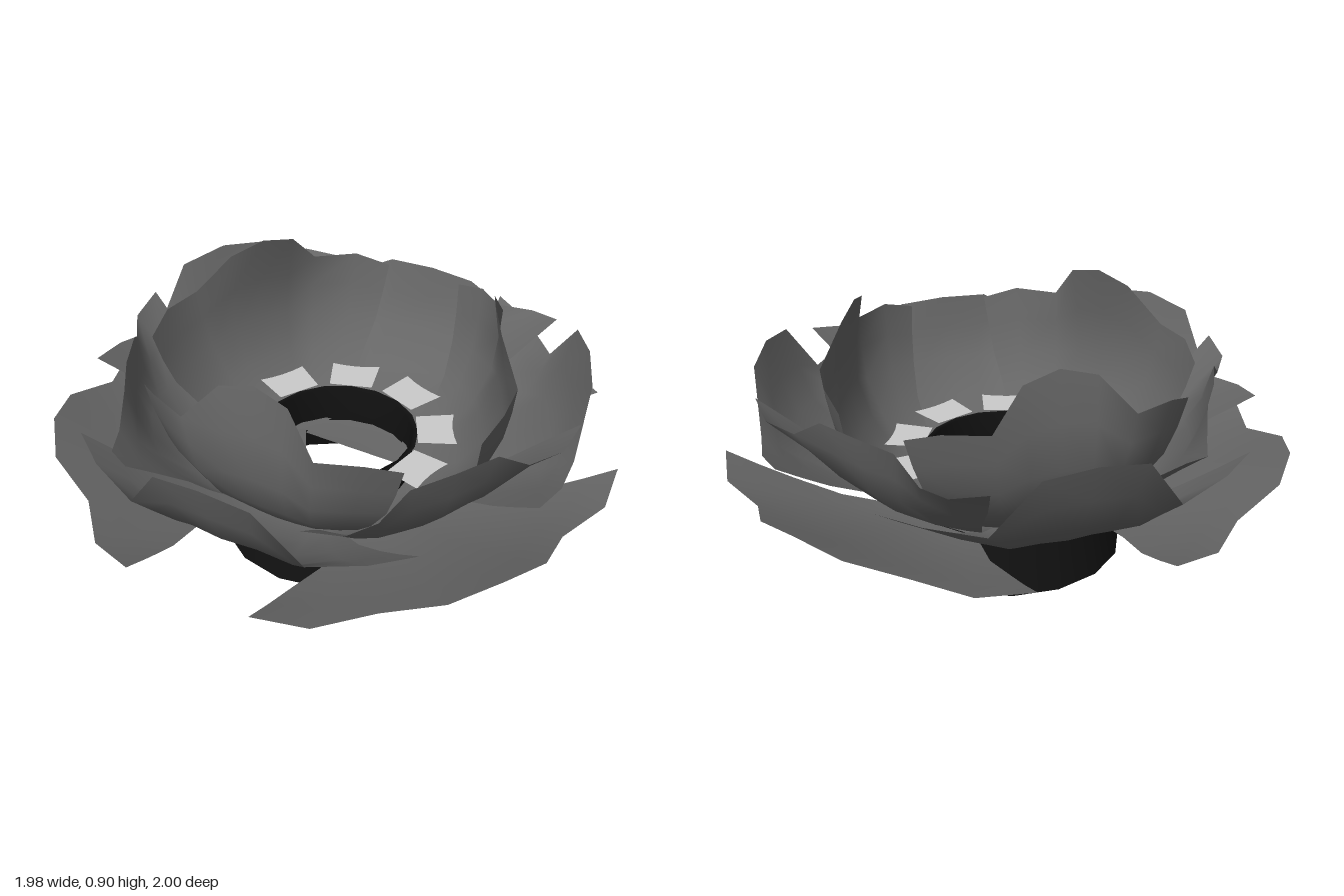
import * as THREE from 'three';

const dark = new THREE.MeshStandardMaterial({ color: 0x111111, side: THREE.DoubleSide });
const petalGrey = new THREE.MeshStandardMaterial({ color: 0x666666, side: THREE.DoubleSide });
const light = new THREE.MeshStandardMaterial({ color: 0xcccccc, side: THREE.DoubleSide });

// Petal points are [across, up, out]. The middle line runs from base to tip,
// the side from waist to corner, the rim holds the scallops between tip and corner.
const outerPetal = {
  middle: [[0, 0.215, 0.12], [0, 0.215, 0.42], [0, 0.31, 0.75], [0, 0.44, 1.02]],
  side: [[0.22, 0.215, 0.38], [0.52, 0.285, 0.56], [0.73, 0.375, 0.69]],
  rim: [[0.19, 0.41, 0.99], [0.36, 0.35, 0.86], [0.58, 0.35, 0.81]],
};
const lowerPetal = {
  middle: [[0, 0.225, 0.24], [0, 0.245, 0.48], [0, 0.44, 0.77], [0, 0.715, 0.88]],
  side: [[0.24, 0.255, 0.37], [0.45, 0.39, 0.52], [0.65, 0.545, 0.64]],
  rim: [[0.18, 0.69, 0.865], [0.33, 0.485, 0.8], [0.52, 0.52, 0.73]],
};
const upperPetal = {
  middle: [[0, 0.23, 0.12], [0, 0.25, 0.42], [0, 0.45, 0.67], [0, 0.68, 0.74]],
  side: [[0.23, 0.26, 0.38], [0.37, 0.44, 0.51], [0.54, 0.64, 0.69]],
  rim: [[0.17, 0.675, 0.73], [0.29, 0.6, 0.74], [0.42, 0.61, 0.75]],
};
const innerPetal = {
  middle: [[0, 0.24, 0.24], [0, 0.28, 0.43], [0, 0.55, 0.58], [0, 0.9, 0.54]],
  side: [[0.28, 0.29, 0.36], [0.43, 0.48, 0.44], [0.5, 0.69, 0.46]],
  rim: [[0.13, 0.865, 0.55], [0.25, 0.73, 0.6], [0.4, 0.73, 0.54]],
};

const spline = (points) => new THREE.CatmullRomCurve3(points.map((p) => new THREE.Vector3(...p)));

// Lofts rows from middle line to side edge, fading in the scallops near the rim
function petalGeometry({ middle, side, rim }) {
  const rows = 6;
  const [, baseUp, baseOut] = middle[0];
  const middleCurve = spline(middle);
  const sideCurve = spline([[0.21, baseUp, baseOut], ...side]);
  const tip = middleCurve.getPoint(1);
  const corner = sideCurve.getPoint(1);
  const half = [...rim, side[side.length - 1]];
  const columns = [...half.map(([w, y, d]) => [-w, y, d]).reverse(), middle[middle.length - 1], ...half];
  const n = columns.length;
  const mix = THREE.MathUtils.lerp;
  const positions = [];
  const index = [];
  for (let i = 0; i <= rows; i++) {
    const t = i / rows;
    const m = middleCurve.getPoint(t);
    const s = sideCurve.getPoint(t);
    const scallop = t ** 3;
    for (const [w, y, d] of columns) {
      const f = w / corner.x;
      const bow = f * f;
      positions.push(
        f * s.x,
        mix(m.y, s.y, bow) + (y - mix(tip.y, corner.y, bow)) * scallop,
        mix(m.z, s.z, bow) + (d - mix(tip.z, corner.z, bow)) * scallop,
      );
    }
  }
  for (let i = 0; i < rows; i++) {
    for (let j = 0; j < n - 1; j++) {
      const a = i * n + j;
      index.push(a, a + n, a + 1, a + 1, a + n, a + n + 1);
    }
  }
  const geometry = new THREE.BufferGeometry();
  geometry.setAttribute('position', new THREE.Float32BufferAttribute(positions, 3));
  geometry.setIndex(index);
  geometry.computeVertexNormals();
  return geometry;
}

function add(parent, name, geometry, material) {
  const mesh = new THREE.Mesh(geometry, material);
  mesh.name = name;
  parent.add(mesh);
  return mesh;
}

export function createModel() {
  const model = new THREE.Group();
  model.name = 'flowerBowl';
  const flower = new THREE.Group();
  flower.name = 'flower';
  flower.position.z = 0.02;
  model.add(flower);

  // Hollow tapered foot
  add(flower, 'foot', new THREE.CylinderGeometry(0.385, 0.43, 0.215, 16, 1, true), dark).position.y = 0.1075;

  // Four tiers of three petals, each turned half a step from the one below
  Object.entries({ outerPetal, lowerPetal, upperPetal, innerPetal }).forEach(([name, petal], tier) => {
    const geometry = petalGeometry(petal);
    for (let k = 0; k < 3; k++) {
      add(flower, name, geometry, petalGrey).rotation.y = (tier + 1) * Math.PI + k * Math.PI * 2 / 3;
    }
  });

  // Thin cup wall with a narrow rim in the middle
  const cup = [[0.27, 0.23], [0.27, 0.375], [0.29, 0.375]].map(([r, y]) => new THREE.Vector2(r, y));
  add(flower, 'cup', new THREE.LatheGeometry(cup, 18), dark);

  // Nine flat tabs folded outward around the cup
  const tab = new THREE.Shape();
  tab.moveTo(-0.08, -0.285);
  tab.lineTo(0.08, -0.285);
  tab.lineTo(0.09, -0.425);
  tab.quadraticCurveTo(0, -0.405, -0.09, -0.425);
  const tabGeometry = new THREE.ShapeGeometry(tab, 4).rotateX(-Math.PI / 2);
  for (let k = 0; k < 9; k++) {
    const mesh = add(flower, 'tab', tabGeometry, light);
    mesh.position.y = 0.38;
    mesh.rotation.y = k * Math.PI * 2 / 9;
  }
  return model;
}
